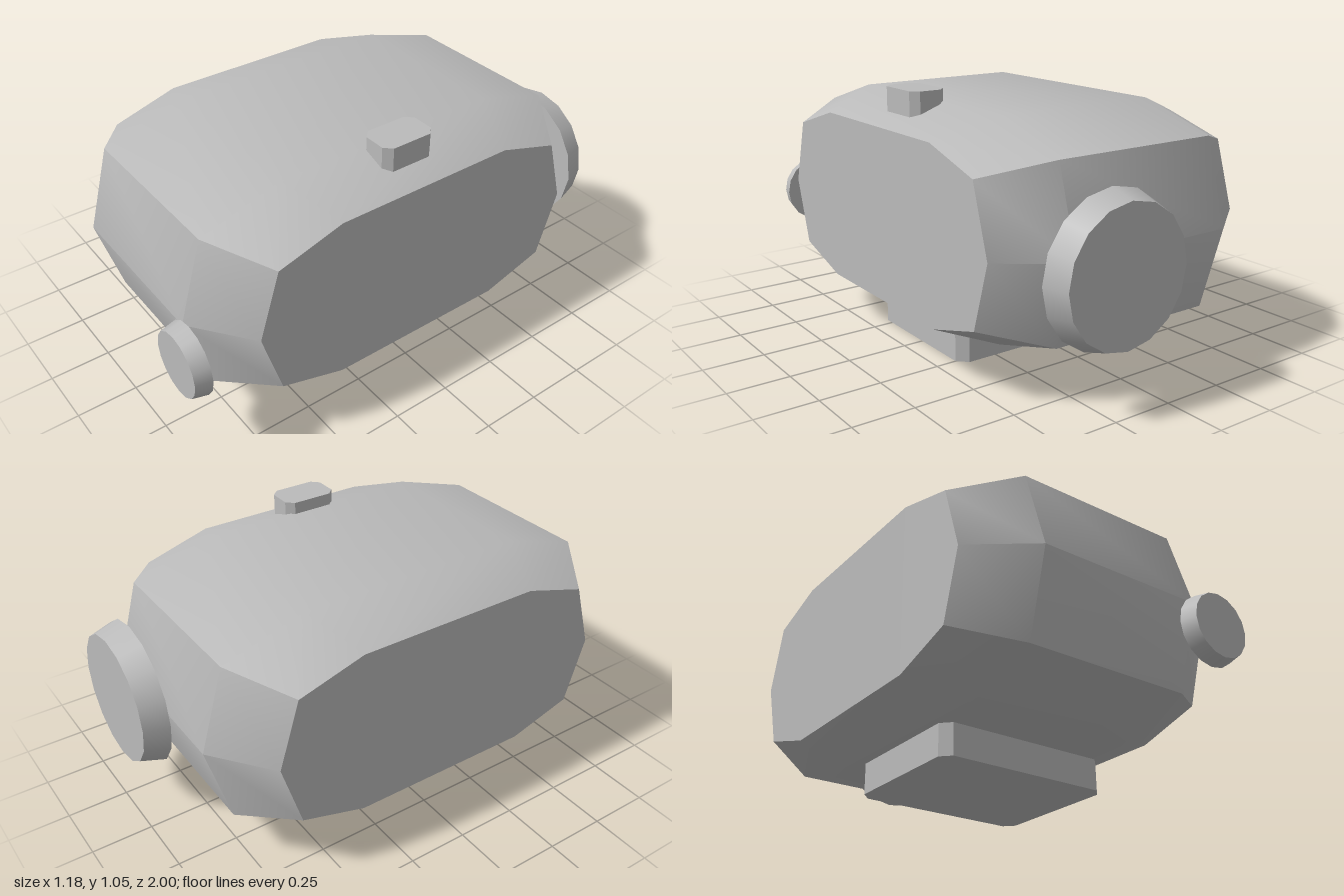
import * as THREE from 'three';
import { toCreasedNormals } from 'three/addons/utils/BufferGeometryUtils.js';

const BODY_Y = 0.565, BODY_Z = 0.016;

// Ten-sided outline in z and y, mirrored from one quarter
function ring(quarter) {
  const [a, b, c] = quarter;
  return [a, b, c, [b[0], -b[1]], [a[0], -a[1]], [-a[0], -a[1]],
    [-b[0], -b[1]], [-c[0], 0], [-b[0], b[1]], [-a[0], a[1]]];
}

// Body: cross-sections lofted along x, closed with flat ends
function bodyGeometry() {
  const wide = ring([[0.482, 0.435], [0.818, 0.335], [0.915, 0]]);
  const narrow = ring([[0.385, 0.35], [0.655, 0.27], [0.738, 0]]);
  const sections = [[-0.59, narrow], [-0.355, wide], [0.355, wide], [0.59, narrow]];
  const n = wide.length;
  const positions = [], index = [];
  for (const [x, pts] of sections) {
    for (const [z, y] of pts) positions.push(x, y + BODY_Y, z + BODY_Z);
  }
  for (let r = 0; r < sections.length - 1; r++) {
    for (let i = 0; i < n; i++) {
      const j = (i + 1) % n;
      const a = r * n + i, b = r * n + j, c = b + n, d = a + n;
      index.push(a, b, c, a, c, d);
    }
  }
  const last = (sections.length - 1) * n;
  for (let i = 1; i < n - 1; i++) {
    index.push(0, i + 1, i);
    index.push(last, last + i, last + i + 1);
  }
  const geometry = new THREE.BufferGeometry();
  geometry.setAttribute('position', new THREE.Float32BufferAttribute(positions, 3));
  geometry.setIndex(index);
  return toCreasedNormals(geometry, 0.75);
}

// Upright block with chamfered vertical corners
function chamferedBlock(x0, x1, y0, y1, z0, z1, c) {
  const shape = new THREE.Shape([
    [x0 + c, -z1], [x1 - c, -z1], [x1, -z1 + c], [x1, -z0 - c],
    [x1 - c, -z0], [x0 + c, -z0], [x0, -z0 - c], [x0, -z1 + c],
  ].map(([x, y]) => new THREE.Vector2(x, y)));
  const geometry = new THREE.ExtrudeGeometry(shape, { depth: y1 - y0, bevelEnabled: false });
  return geometry.rotateX(-Math.PI / 2).translate(0, y0, 0);
}

// Tapered disc facing along z, smaller on its outer side
function taperedDisc(outer, inner, depth, side) {
  return new THREE.CylinderGeometry(outer, inner, depth, 16).rotateX(side * Math.PI / 2);
}

export function createModel() {
  const group = new THREE.Group();
  const grey = new THREE.MeshStandardMaterial({ name: 'light grey', color: 0xbbbbbb });

  function add(name, geometry, x = 0, y = 0, z = 0) {
    const mesh = new THREE.Mesh(geometry, grey);
    mesh.name = name;
    mesh.position.set(x, y, z);
    group.add(mesh);
  }

  add('body', bodyGeometry());
  add('frontDisc', taperedDisc(0.131, 0.145, 0.065, 1), 0.415, 0.46, 0.9675);
  add('rearDisc', taperedDisc(0.265, 0.295, 0.1, -1), 0.205, 0.515, -0.95);
  add('topButton', chamferedBlock(0.34, 0.49, 0.95, 1.05, -0.1, 0.13, 0.03));
  add('base', chamferedBlock(-0.35, 0.415, 0, 0.13, -0.29, 0.325, 0.04));
  return group;
}
